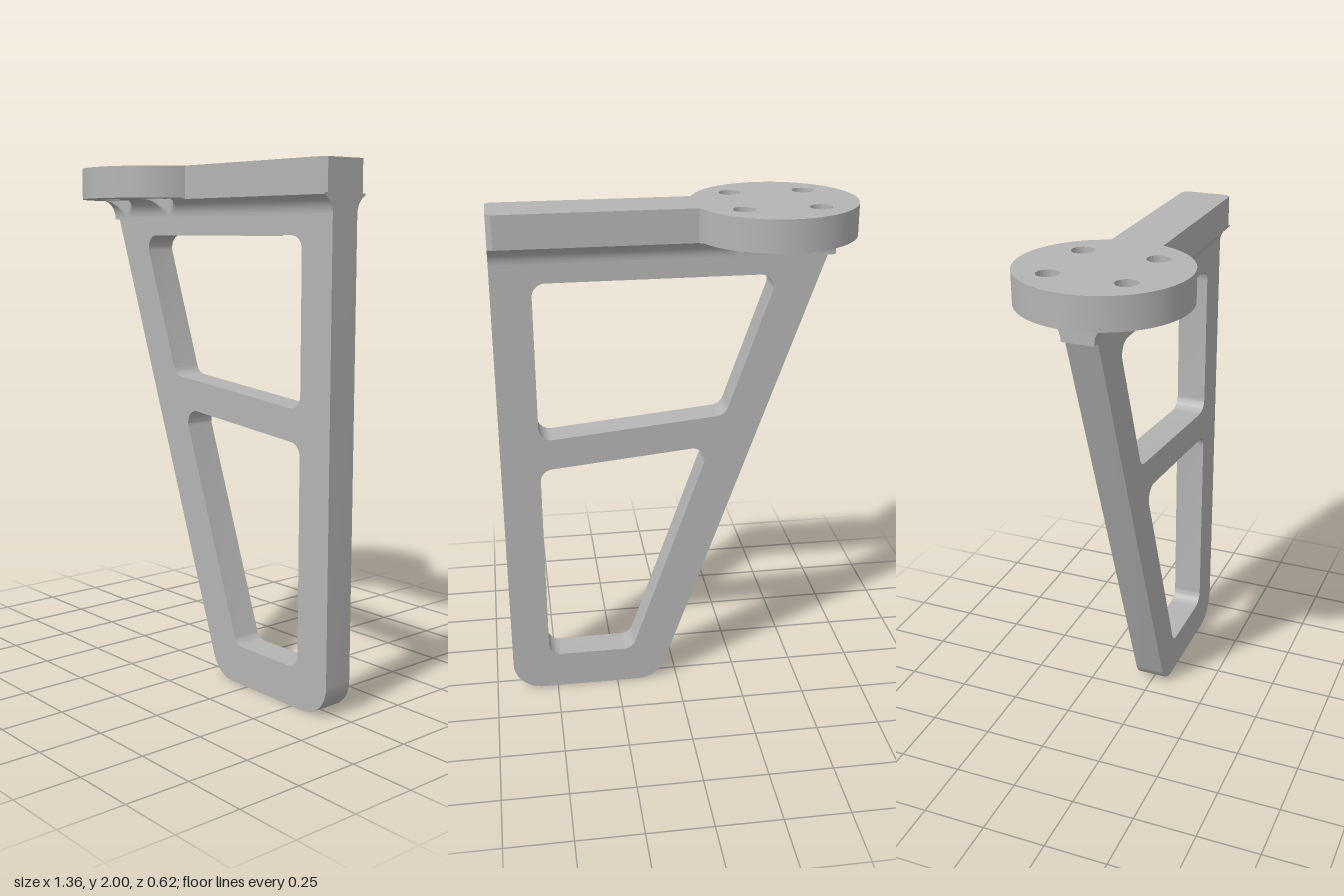
import * as THREE from 'three';
import { toCreasedNormals } from 'three/addons/utils/BufferGeometryUtils.js';

const TOP = 2, UNDER = 1.88;            // mounting plate top and underside
const DISC = { x: -0.37, r: 0.31 };     // round pad
const HALF_FRAME = 0.06, HALF_BAR = 0.1, FILLET = 0.07;
const HOLE_X = [-0.51, -0.23], HOLE_Z = 0.14, HOLE_R = 0.041, BORE_R = 0.08;

// Trace a polygon of [x, y, cornerRadius] with circular corners
function roundedPath(path, pts) {
  const n = pts.length;
  pts.forEach(([x, y, r], i) => {
    const p = new THREE.Vector2(x, y);
    const a = new THREE.Vector2(...pts[(i + n - 1) % n]).sub(p).normalize();
    const b = new THREE.Vector2(...pts[(i + 1) % n]).sub(p).normalize();
    const turn = Math.PI - Math.acos(a.dot(b));
    const t = r * Math.tan(turn / 2);
    const k = t - (4 / 3) * Math.tan(turn / 4) * r;
    const at = (dir, d) => p.clone().addScaledVector(dir, d);
    const s = at(a, t), e = at(b, t), c1 = at(a, k), c2 = at(b, k);
    if (i === 0) path.moveTo(s.x, s.y);
    else path.lineTo(s.x, s.y);
    if (r > 0) path.bezierCurveTo(c1.x, c1.y, c2.x, c2.y, e.x, e.y);
  });
  path.closePath();
  return path;
}

// Tapered upright frame with two windows
function frameGeometry() {
  const shape = roundedPath(new THREE.Shape(), [
    [-0.595, UNDER, 0], [-0.595, 1.803, 0], [-0.565, 1.803, 0],
    [0.08, 0, 0.12], [0.68, 0, 0.12], [0.68, UNDER, 0],
  ]);
  const windows = [
    [[-0.385, 1.737, 0.05], [0.53, 1.737, 0.05], [0.53, 1.115, 0.05], [-0.19, 1.184, 0.05]],
    [[-0.135, 1.057, 0.05], [0.53, 0.993, 0.05], [0.53, 0.153, 0.05], [0.185, 0.153, 0.05]],
  ];
  for (const w of windows) shape.holes.push(roundedPath(new THREE.Path(), w));
  const g = new THREE.ExtrudeGeometry(shape, { depth: 2 * HALF_FRAME, bevelEnabled: false, curveSegments: 12 });
  g.translate(0, 0, -HALF_FRAME);
  return toCreasedNormals(g, 0.5);
}

// Round pad with a straight bar, pierced by four screw holes
function plateGeometry() {
  const a = Math.asin(HALF_BAR / DISC.r);
  const shape = new THREE.Shape();
  shape.absarc(DISC.x, 0, DISC.r, a, Math.PI * 2 - a, false);
  shape.lineTo(0.66, -HALF_BAR);
  shape.lineTo(0.68, -HALF_BAR + 0.015);
  shape.lineTo(0.68, HALF_BAR - 0.015);
  shape.lineTo(0.66, HALF_BAR);
  shape.closePath();
  for (const x of HOLE_X) for (const s of [-1, 1]) {
    shape.holes.push(new THREE.Path().absarc(x, s * HOLE_Z, HOLE_R, 0, Math.PI * 2, true));
  }
  const g = new THREE.ExtrudeGeometry(shape, { depth: TOP - UNDER, bevelEnabled: false, curveSegments: 40 });
  g.rotateX(-Math.PI / 2).translate(0, UNDER, 0);
  return toCreasedNormals(g, 0.5);
}

// Half-width of the fillet: concave arc, trimmed by the bar and the screw bores
function filletHalfWidth(x, angle) {
  let z = HALF_FRAME + FILLET * (1 - Math.cos(angle));
  if (x > DISC.x + 0.293) z = Math.min(z, HALF_BAR);
  for (const hx of HOLE_X) {
    const d = Math.abs(x - hx);
    if (d < BORE_R) z = Math.min(z, HOLE_Z - Math.sqrt(BORE_R * BORE_R - d * d));
  }
  return Math.max(z, HALF_FRAME);
}

// Concave fillet joining frame and plate, lofted along x
function filletGeometry() {
  const STEPS = 255, ROWS = 12, x0 = -0.595, x1 = 0.68;
  const section = (x) => {
    const side = [];
    for (let j = ROWS; j >= 0; j--) {
      const t = (j / ROWS) * Math.PI / 2;
      side.push([x, UNDER - FILLET + FILLET * Math.sin(t), filletHalfWidth(x, t)]);
    }
    const mirrored = side.map(([px, y, z]) => [px, y, -z]).reverse();
    return [[x, UNDER, 0], ...side, ...mirrored];
  };
  const pos = [];
  const tri = (a, b, c) => pos.push(...a, ...b, ...c);
  const rings = [];
  for (let i = 0; i <= STEPS; i++) rings.push(section(x0 + (x1 - x0) * i / STEPS));
  const n = rings[0].length;
  for (let i = 0; i < STEPS; i++) {
    const A = rings[i], B = rings[i + 1];
    for (let j = 0; j < n; j++) {
      const k = (j + 1) % n;
      tri(A[j], A[k], B[k]);
      tri(A[j], B[k], B[j]);
    }
  }
  // End caps
  const first = rings[0], last = rings[STEPS];
  for (let j = 1; j < n - 1; j++) {
    tri(last[0], last[j], last[j + 1]);
    tri(first[0], first[j + 1], first[j]);
  }
  const g = new THREE.BufferGeometry();
  g.setAttribute('position', new THREE.Float32BufferAttribute(pos, 3));
  return toCreasedNormals(g, 0.5);
}

export function createModel() {
  const grey = new THREE.MeshStandardMaterial({ color: 0xb4b4b4 });
  grey.name = 'plain grey';
  const model = new THREE.Group();
  model.name = 'bracket';
  const add = (name, geometry) => {
    const mesh = new THREE.Mesh(geometry, grey);
    mesh.name = name;
    model.add(mesh);
  };
  add('frame', frameGeometry());
  add('mountingPlate', plateGeometry());
  add('fillet', filletGeometry());
  return model;
}
